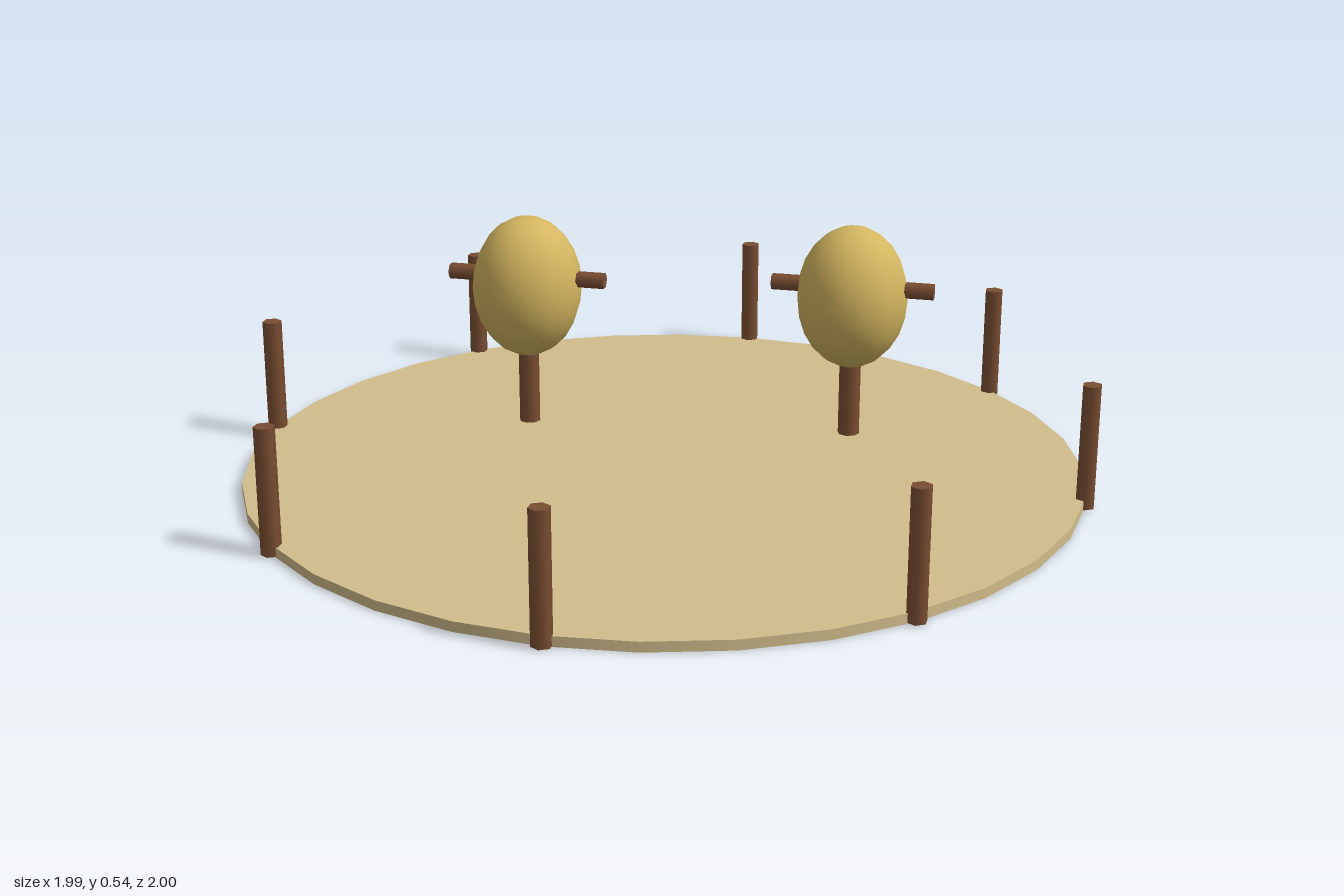
import * as THREE from 'three';

export function createModel() {
  const sand = new THREE.MeshStandardMaterial({ name: 'sand', color: 0xc2b280 });
  const straw = new THREE.MeshStandardMaterial({ name: 'straw', color: 0xc9a85c });
  const wood = new THREE.MeshStandardMaterial({ name: 'wood', color: 0x7a4e32 });
  sand.color.set(0xd2bd8c);
  straw.color.set(0xd4b660);
  const model = new THREE.Group();
  model.name = 'trainingRing';

  const add = (parent, name, geometry, material, x, y, z) => {
    const mesh = new THREE.Mesh(geometry, material);
    mesh.name = name;
    mesh.position.set(x, y, z);
    parent.add(mesh);
    return mesh;
  };

  // Flat round arena floor
  const ringRadius = 0.977;
  add(model, 'arenaFloor', new THREE.CylinderGeometry(ringRadius, ringRadius, 0.023, 32), sand, 0, 0.0115, 0);

  // Eight fence posts around the rim
  const postGeometry = new THREE.CylinderGeometry(0.023, 0.023, 0.29, 6);
  for (let i = 0; i < 8; i++) {
    const a = (i * Math.PI) / 4;
    add(model, 'fencePost', postGeometry, wood, Math.cos(a) * ringRadius, 0.147, Math.sin(a) * ringRadius);
  }

  // Two practice dummies: pole, stuffed body and crossbar arms
  const poleGeometry = new THREE.CylinderGeometry(0.026, 0.026, 0.35, 8);
  const bodyGeometry = new THREE.SphereGeometry(0.133, 16, 12).scale(1, 1.3, 1);
  const armGeometry = new THREE.CylinderGeometry(0.02, 0.02, 0.39, 6).rotateZ(Math.PI / 2);
  for (const [x, z] of [[-0.39, -0.195], [0.39, -0.293]]) {
    const dummy = new THREE.Group();
    dummy.name = 'practiceDummy';
    dummy.position.set(x, 0, z);
    add(dummy, 'pole', poleGeometry, wood, 0, 0.175, 0);
    add(dummy, 'body', bodyGeometry, straw, 0, 0.368, 0);
    add(dummy, 'crossbar', armGeometry, wood, 0, 0.393, 0);
    model.add(dummy);
  }
  return model;
}
